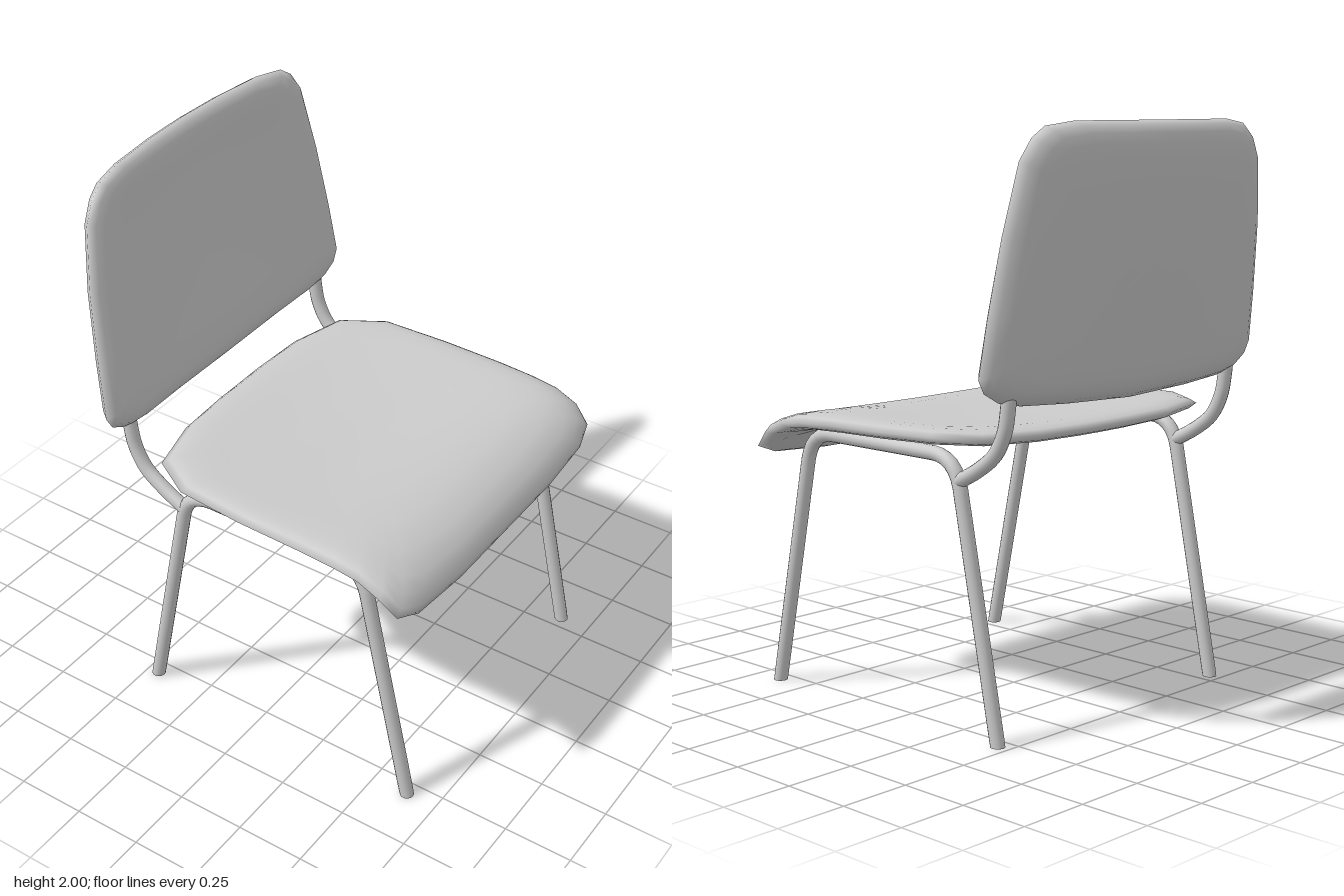
import * as THREE from 'three';

const material = new THREE.MeshStandardMaterial({ color: 0xcccccc, side: THREE.DoubleSide });
const TUBE = 0.025, FRAME_Z = 0.55;

function mesh(name, geometry) {
  const m = new THREE.Mesh(geometry, material);
  m.name = name;
  return m;
}

// Closed pad: the outline shrinks toward its middle in rings, over the top, round the rim and underneath.
// half: [a, z] from z = 0 round the +z side; place(a, z, h): point at height h (-1..1) through the pad.
function padGeometry(half, centre, place) {
  const outline = [...half, ...half.slice(1, -1).reverse().map(([a, z]) => [a, -z])];
  const upper = [[0.2, 1], [0.4, 1], [0.58, 1], [0.73, 1], [0.84, 0.96], [0.91, 0.83], [0.965, 0.55]];
  const rings = [...upper, [1, 0], ...upper.map(([s, h]) => [s, -h]).reverse()];
  const n = outline.length, pos = [], index = [];
  for (const [s, h] of rings)
    for (const [a, z] of outline) pos.push(...place(centre + (a - centre) * s, z * s, h));
  const first = rings.length * n, last = first + 1;
  pos.push(...place(centre, 0, 1), ...place(centre, 0, -1));
  for (let i = 0; i < n; i++) {
    const j = (i + 1) % n;
    index.push(first, i, j);
    for (let k = 0; k < rings.length - 1; k++) {
      const a = k * n, b = a + n;
      index.push(a + i, b + i, b + j, a + i, b + j, a + j);
    }
    const e = (rings.length - 1) * n;
    index.push(e + i, last, e + j);
  }
  const g = new THREE.BufferGeometry();
  g.setAttribute('position', new THREE.Float32BufferAttribute(pos, 3));
  g.setIndex(index);
  g.computeVertexNormals();
  return g;
}

// Seat: a side profile with a drooping front edge, slightly dished across
function seat() {
  const profile = new THREE.CatmullRomCurve3([
    [-0.455, 1.0], [-0.2, 0.995], [0.1, 0.985], [0.38, 0.975], [0.53, 0.948], [0.61, 0.89], [0.665, 0.815],
  ].map(([x, y]) => new THREE.Vector3(x, y, 0)));
  const half = [[0, 0], [0, 0.12], [0.01, 0.33], [0.06, 0.54], [0.19, 0.632], [0.4, 0.648], [0.6, 0.65],
    [0.72, 0.65], [0.8, 0.65], [0.88, 0.65], [0.95, 0.635], [0.985, 0.54], [1, 0.3], [1, 0]];
  return mesh('seat', padGeometry(half, 0.5, (u, z, h) => {
    const p = profile.getPointAt(u), t = profile.getTangentAt(u);
    const sag = 0.03 * (1 - (z / 0.65) ** 2) * Math.min(1, 0.4 + 2.5 * u, (1 - u) * 2);
    return [p.x - t.y * h * 0.032, p.y + t.x * h * 0.032 - sag, z];
  }));
}

// Backrest: leans back and wraps forward at the sides, more so toward the top
function backrest() {
  const lean = new THREE.SplineCurve([[1.09, -0.53], [1.2, -0.545], [1.6, -0.612], [1.88, -0.648], [2, -0.65]]
    .map(p => new THREE.Vector2(...p)));
  const samples = lean.getPoints(80);
  const leanAt = y => {
    const i = Math.max(1, samples.findIndex(p => p.x >= y - 1e-6));
    const a = samples[i - 1], b = samples[i];
    return THREE.MathUtils.mapLinear(y, a.x, b.x, a.y, b.y);
  };
  const half = [[1.09, 0], [1.1, 0.3], [1.112, 0.5], [1.13, 0.59], [1.165, 0.65], [1.21, 0.675], [1.4, 0.662],
    [1.65, 0.635], [1.88, 0.59], [1.95, 0.545], [1.985, 0.495], [2, 0.38], [2, 0.18], [2, 0]];
  return mesh('backrest', padGeometry(half, 1.56, (y, z, h) => {
    const t = (y - 1.09) / 0.91;
    const wrap = (0.04 + 0.035 * t) * (z / 0.63) ** 2;
    return [leanAt(y) + wrap - h * (0.052 - 0.01 * t), y, z];
  }));
}

// Polyline with rounded inner corners
function bentPath(points, radius) {
  const pts = points.map(([x, y]) => new THREE.Vector3(x, y, 0));
  const path = new THREE.CurvePath();
  let from = pts[0];
  for (let i = 1; i < pts.length - 1; i++) {
    const toward = q => pts[i].clone().add(q.clone().sub(pts[i]).setLength(radius));
    const a = toward(pts[i - 1]), b = toward(pts[i + 1]);
    path.add(new THREE.LineCurve3(from, a));
    path.add(new THREE.QuadraticBezierCurve3(a, pts[i], b));
    from = b;
  }
  path.add(new THREE.LineCurve3(from, pts.at(-1)));
  return path;
}

// One side of the frame: legs and rail in a single bent tube, plus the backrest support
function sideFrame(z) {
  const g = new THREE.Group();
  g.name = 'sideFrame';
  const feet = [-0.455, 0.635];
  const legs = new THREE.TubeGeometry(
    bentPath([[feet[0], 0], [-0.268, 0.928], [0.44, 0.928], [feet[1], 0]], 0.11), 90, TUBE, 14);
  const p = legs.attributes.position;
  for (let i = 0; i < p.count; i++) if (Math.abs(p.getY(i)) < 0.01) p.setY(i, 0); // flat on the floor
  g.add(mesh('legsAndRail', legs));
  for (const x of feet) {
    const cap = mesh('footCap', new THREE.CircleGeometry(TUBE, 14).rotateX(Math.PI / 2));
    cap.position.x = x;
    g.add(cap);
  }
  const support = new THREE.CatmullRomCurve3([[-0.285, 0.85], [-0.37, 0.897], [-0.445, 0.955], [-0.486, 1.03],
    [-0.502, 1.11], [-0.51, 1.2]].map(([x, y]) => new THREE.Vector3(x, y, 0)));
  g.add(mesh('backSupport', new THREE.TubeGeometry(support, 28, TUBE, 14)));
  g.position.z = z;
  return g;
}

export function createModel() {
  const model = new THREE.Group();
  model.name = 'chair';
  model.add(seat(), backrest(), sideFrame(FRAME_Z), sideFrame(-FRAME_Z));
  return model;
}
